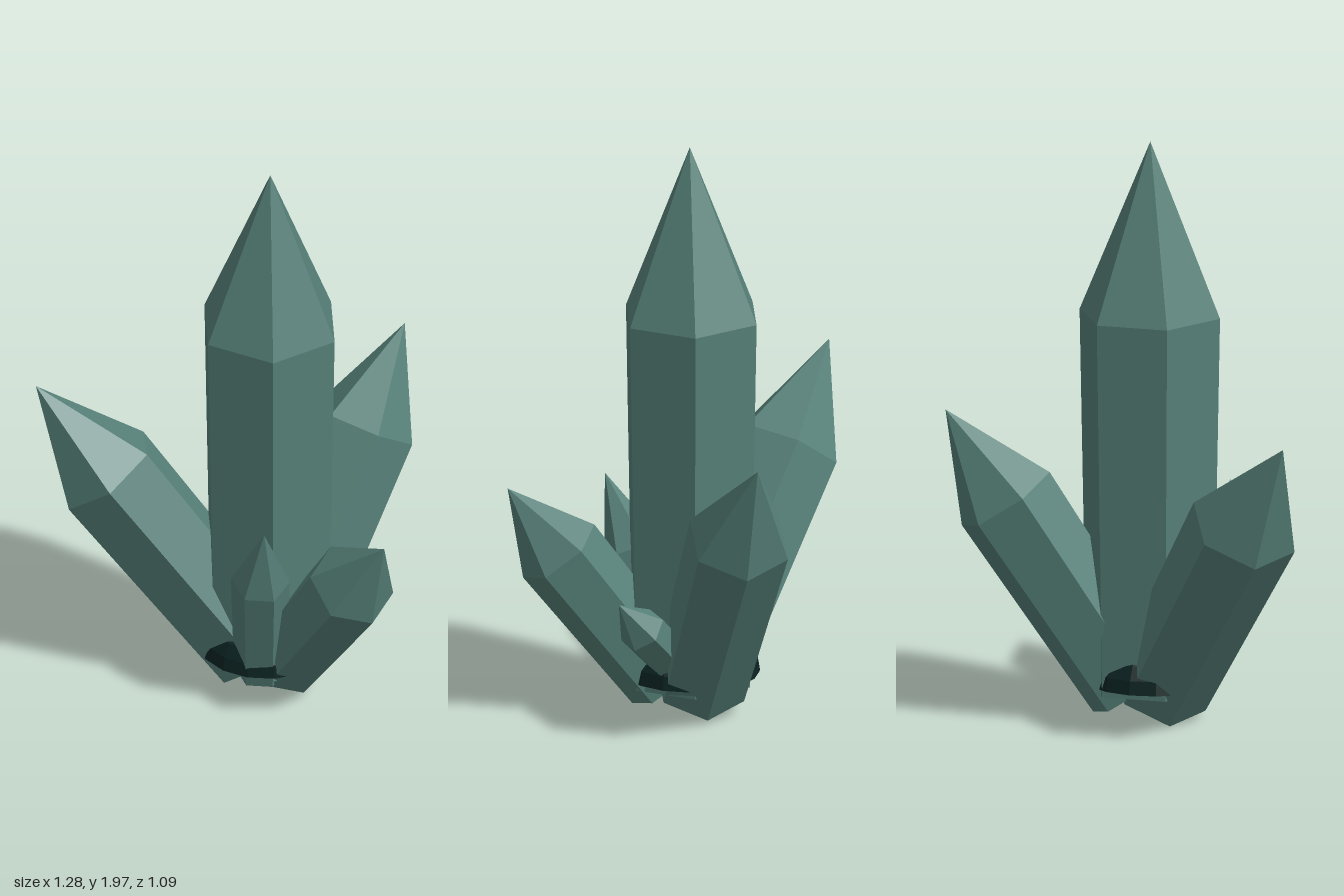
import * as THREE from 'three';

const crystalMat = new THREE.MeshStandardMaterial({ color: 0x568078 });
crystalMat.name = 'grey green crystal';
const rockMat = new THREE.MeshStandardMaterial({ color: 0x0c2422 });
rockMat.name = 'dark rock';

const v = (p) => new THREE.Vector3(...p);

// Six-sided pointed crystal: prism from base to shoulder, then a pyramid to the tip.
// corner is the offset from the shoulder centre to one of its corners.
function crystal({ name, base, shoulder, tip, corner, taper = 0.9, capped = true }) {
  const b = v(base), s = v(shoulder), t = v(tip);
  const axis = t.clone().sub(s).normalize();
  const radius = v(corner).length();
  const u = v(corner).addScaledVector(axis, -v(corner).dot(axis)).setLength(radius);
  const w = axis.clone().cross(u).setLength(radius);
  const ring = (centre, scale) => Array.from({ length: 6 }, (_, i) => {
    const a = (i * Math.PI) / 3;
    return centre.clone()
      .addScaledVector(u, Math.cos(a) * scale)
      .addScaledVector(w, Math.sin(a) * scale);
  });
  const low = ring(b, taper), high = ring(s, 1), points = [];
  for (let i = 0; i < 6; i++) {
    const j = (i + 1) % 6;
    points.push(low[i], low[j], high[j], low[i], high[j], high[i]); // side
    points.push(high[i], high[j], t); // tip facet
    if (capped) points.push(b, low[j], low[i]); // bottom
  }
  const geometry = new THREE.BufferGeometry().setFromPoints(points);
  geometry.computeVertexNormals();
  const mesh = new THREE.Mesh(geometry, crystalMat);
  mesh.name = name;
  return mesh;
}

export function createModel() {
  const group = new THREE.Group();
  group.name = 'crystalCluster';

  const crystals = [
    { name: 'mainCrystal', base: [0, 0.13, -0.07], shoulder: [0, 1.41, -0.07],
      tip: [0, 2, -0.065], corner: [0.243, 0, -0.017], capped: false },
    { name: 'backRightCrystal', base: [-0.04, 0.13, -0.08], shoulder: [-0.45, 0.79, -0.38],
      tip: [-0.64, 1.105, -0.52], corner: [-0.15, -0.1, 0.05] },
    { name: 'backLeftCrystal', base: [0.05, 0.13, -0.1], shoulder: [0.45, 0.775, -0.235],
      tip: [0.64, 1.08, -0.3], corner: [0.13, -0.117, -0.025] },
    { name: 'frontCrystal', base: [0.01, 0.13, 0.02], shoulder: [0.07, 0.6, 0.37],
      tip: [0.1, 0.83, 0.54], corner: [0.01, -0.11, 0.1] },
    { name: 'smallRightCrystal', base: [-0.09, 0.13, 0.03], shoulder: [-0.145, 0.55, 0.13],
      tip: [-0.18, 0.79, 0.22], corner: [0, -0.025, 0.095] },
    { name: 'smallLeftCrystal', base: [0.05, 0.13, -0.08], shoulder: [0.22, 0.375, 0.09],
      tip: [0.3, 0.49, 0.167], corner: [0.05, -0.06, 0.02] },
  ];
  crystals.forEach((c) => group.add(crystal(c)));

  // Dark rock dome showing through the foot of the main crystal
  const rock = new THREE.Group();
  rock.name = 'rockDome';
  rock.position.set(-0.012, 0.155, -0.067);
  const dome = new THREE.Mesh(
    new THREE.SphereGeometry(0.232, 16, 6, 0, Math.PI * 2, 0, Math.PI / 2).toNonIndexed(), rockMat);
  dome.geometry.computeVertexNormals();
  dome.scale.y = 0.78;
  dome.name = 'rockTop';
  const underside = new THREE.Mesh(new THREE.CircleGeometry(0.232, 16), rockMat);
  underside.rotation.x = Math.PI / 2;
  underside.name = 'rockUnderside';
  rock.add(dome, underside);
  group.add(rock);

  return group;
}
